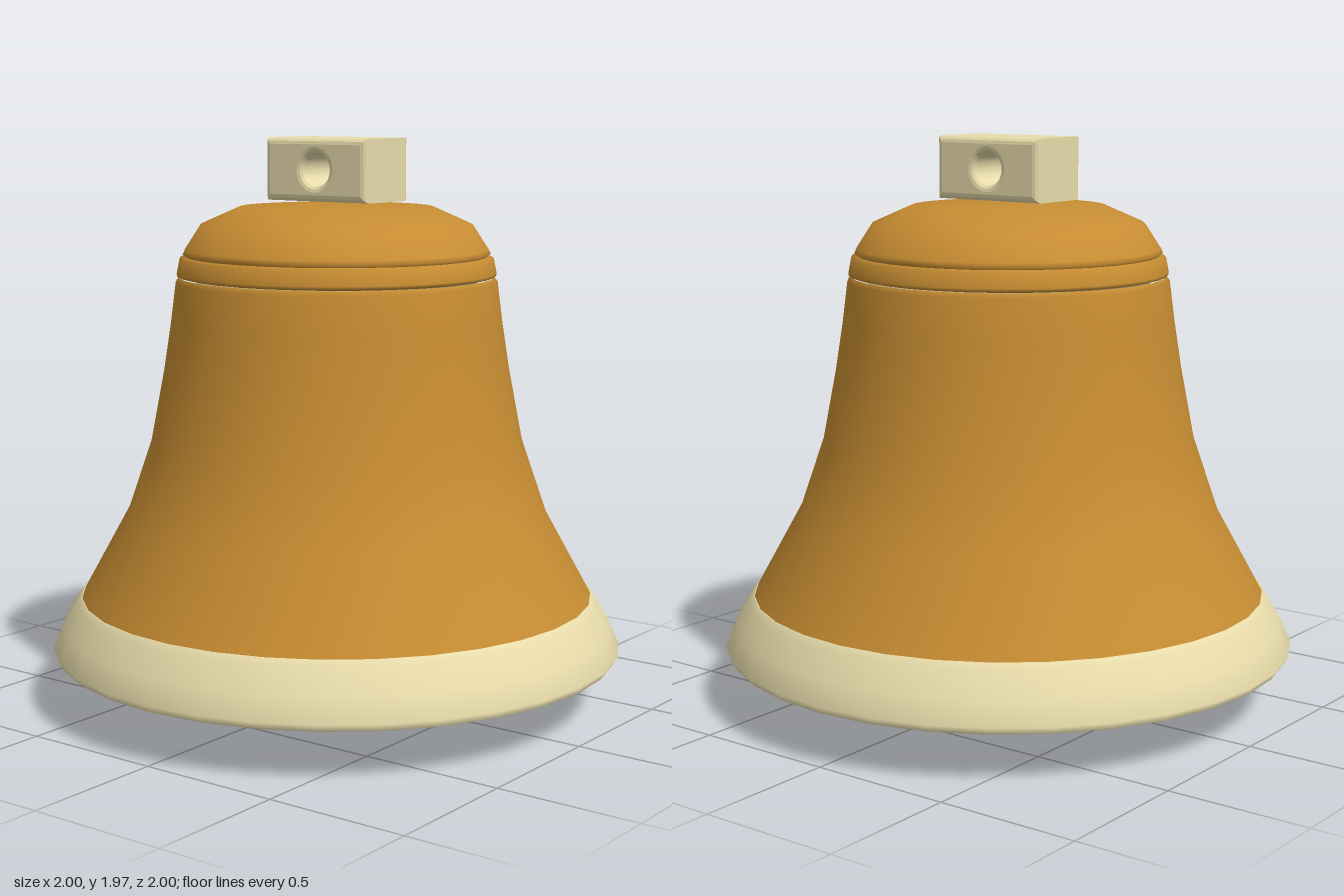
import * as THREE from 'three';

const SEGMENTS = 32;
const bronze = new THREE.MeshStandardMaterial({ color: 0xc68c32 });
const cream = new THREE.MeshStandardMaterial({ color: 0xe8dcab });

function addMesh(parent, name, geometry, material) {
  const mesh = new THREE.Mesh(geometry, material);
  mesh.name = name;
  parent.add(mesh);
  return mesh;
}

// Profiles running upwards face outwards, profiles running downwards face inwards.
function turned(profile) {
  return new THREE.LatheGeometry(profile.map(([r, y]) => new THREE.Vector2(r, y)), SEGMENTS);
}

// Block with rounded edges and a round hole through its depth.
function hangerGeometry(width, height, depth, holeRadius, bevel) {
  const x = width / 2 - bevel, y = height / 2 - bevel;
  const shape = new THREE.Shape();
  shape.moveTo(-x, -y).lineTo(x, -y).lineTo(x, y).lineTo(-x, y).closePath();
  const hole = new THREE.Path();
  hole.absarc(0, 0, holeRadius + bevel, 0, Math.PI * 2, true);
  shape.holes.push(hole);
  const geometry = new THREE.ExtrudeGeometry(shape, {
    depth: depth - 2 * bevel, bevelThickness: bevel, bevelSize: bevel, bevelSegments: 3, curveSegments: 20,
  });
  return geometry.translate(0, 0, -depth / 2 + bevel);
}

export function createModel() {
  const bell = new THREE.Group();
  bell.name = 'bell';

  // Flared outer wall, shoulder band and dome
  addMesh(bell, 'body', turned([
    [0.9, 0.375], [0.735, 0.675], [0.648, 0.93], [0.6, 1.18], [0.575, 1.34], [0.557, 1.48], [0.545, 1.495],
  ]), bronze);
  addMesh(bell, 'shoulderBand', turned([[0.53, 1.495], [0.552, 1.5], [0.553, 1.51], [0.543, 1.56], [0.52, 1.568]]), bronze);
  addMesh(bell, 'dome', turned([
    [0.52, 1.565], [0.532, 1.575], [0.525, 1.59], [0.47, 1.675], [0.335, 1.735], [0, 1.755],
  ]), bronze);

  // Heavy rim: outer flare, top ledge and flat underside
  const rim = new THREE.Group();
  rim.name = 'rim';
  bell.add(rim);
  addMesh(rim, 'rimOuter', turned([[0.985, 0.175], [1, 0.2], [0.965, 0.28], [0.918, 0.362], [0.9, 0.38]]), cream);
  addMesh(rim, 'rimLedge', turned([[0.9, 0.38], [0.86, 0.38]]), cream);
  addMesh(rim, 'rimUnderside', turned([[0.87, 0.175], [0.985, 0.175]]), cream);

  // Hollow inside
  addMesh(bell, 'innerWall', turned([
    [0, 1.69], [0.31, 1.67], [0.43, 1.61], [0.48, 1.52], [0.51, 1.34], [0.535, 1.18],
    [0.58, 0.93], [0.665, 0.675], [0.82, 0.37], [0.87, 0.175],
  ]), cream);

  // Clapper hanging slightly to one side
  const clapper = new THREE.Group();
  clapper.name = 'clapper';
  bell.add(clapper);
  const pivot = new THREE.Vector3(0, 1.7, 0), end = new THREE.Vector3(0.07, 0.148, 0);
  const rod = new THREE.TubeGeometry(new THREE.LineCurve3(pivot, end), 1, 0.024, 12);
  addMesh(clapper, 'clapperRod', rod, cream);
  addMesh(clapper, 'clapperBall', new THREE.SphereGeometry(0.148, 32, 20), cream).position.copy(end);

  // Hanger block on the crown
  addMesh(bell, 'hanger', hangerGeometry(0.43, 0.215, 0.25, 0.055, 0.022), cream).position.y = 1.8635;

  return bell;
}
